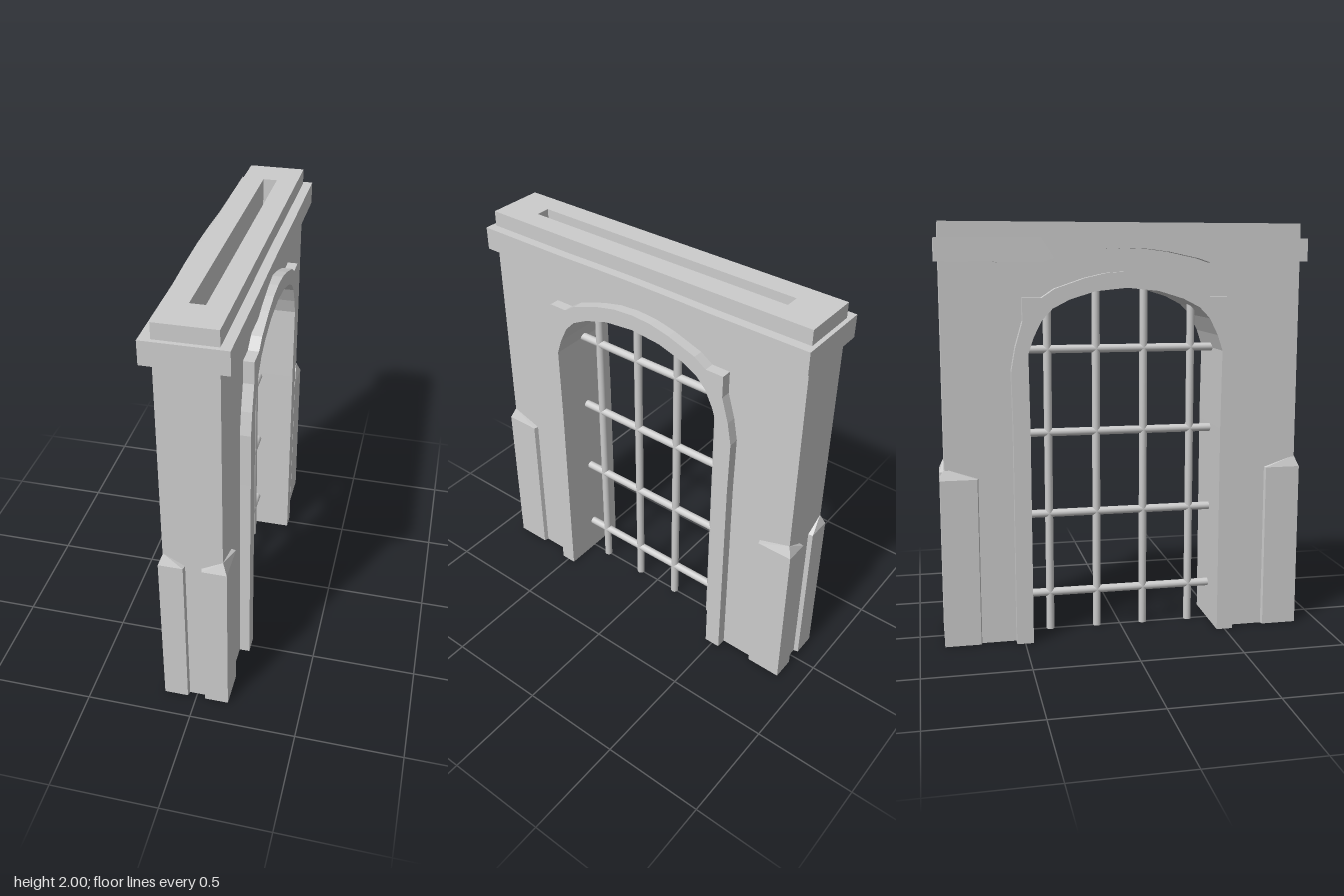
import * as THREE from 'three';
import { ConvexGeometry } from 'three/addons/geometries/ConvexGeometry.js';

const material = new THREE.MeshStandardMaterial({ color: 0xcccccc, flatShading: true });
const smooth = new THREE.MeshStandardMaterial({ color: 0xcccccc });

// Half profiles as [z, y], from the side towards the centre line
const opening = [[0.46, 0], [0.46, 1.02], [0.465, 1.4], [0.44, 1.475], [0.4, 1.555], [0.35, 1.607],
  [0.27, 1.648], [0.15, 1.685], [0, 1.7]];
const trimOuter = [[0.54, 0], [0.54, 1.05], [0.545, 1.32], [0.525, 1.43], [0.49, 1.55], [0.49, 1.657],
  [0.4, 1.657], [0.34, 1.697], [0.2, 1.745], [0.1, 1.768], [0, 1.775]];
const corniceUnder = [[0.88, 1.82], [0.62, 1.82], [0.59, 1.815], [0.4, 1.815], [0.34, 1.835],
  [0.2, 1.865], [0.1, 1.878], [0, 1.882]];

const WALL = [-0.137, 0.133];
const SLOT_FLOOR = 1.85;

// Full left-to-right line from a half profile
function mirrored(half) {
  return [...half, ...half.slice(0, -1).reverse().map(([z, y]) => [-z, y])];
}

function shapeOf(points) {
  return new THREE.Shape(points.map(([a, b]) => new THREE.Vector2(a, b)));
}

// Extrudes a [z, y] outline across x from x0 to x1
function slab(points, x0, x1) {
  const geo = new THREE.ExtrudeGeometry(shapeOf(points), { depth: x1 - x0, bevelEnabled: false });
  return geo.rotateY(-Math.PI / 2).translate(x1, 0, 0);
}

function rectangle(x0, x1, z) {
  return [[x0, -z], [x1, -z], [x1, z], [x0, z]];
}

export function createModel() {
  const model = new THREE.Group();
  model.name = 'gateway';
  const add = (name, geometry, mat = material, parent = model) => {
    const mesh = new THREE.Mesh(geometry, mat);
    mesh.name = name;
    parent.add(mesh);
    return mesh;
  };

  // Wall with the arched opening
  add('wall', slab([[0.86, 0], [0.86, SLOT_FLOOR], [-0.86, SLOT_FLOOR], [-0.86, 0],
    ...mirrored(opening).reverse()], ...WALL));

  // Top block with the long slot for the grille
  const top = shapeOf(rectangle(...WALL, 0.86));
  top.holes.push(new THREE.Path(rectangle(-0.035, 0.032, 0.68).map(([a, b]) => new THREE.Vector2(a, b))));
  add('slottedTop', new THREE.ExtrudeGeometry(top, { depth: 2 - SLOT_FLOOR, bevelEnabled: false })
    .rotateX(-Math.PI / 2).translate(0, SLOT_FLOOR, 0));

  // Raised trim around the arch, standing proud on both faces
  add('archTrim', slab([...mirrored(trimOuter), ...mirrored(opening).reverse()], -0.185, 0.182));

  // Cornice: a curved band on each face, closed by a block at each end
  const cornice = new THREE.Group();
  cornice.name = 'cornice';
  model.add(cornice);
  for (const [x0, x1, rise] of [[-0.187, -0.1, 0.015], [0.1, 0.177, 0.005]]) {
    const crown = [[0.88, 1.928], [0.4, 1.928], [0.2, 1.928 + rise * 0.7], [0, 1.928 + rise]];
    add('corniceBand', slab([...mirrored(corniceUnder), ...mirrored(crown).reverse()], x0, x1), material, cornice);
  }
  for (const side of [-1, 1]) {
    add('corniceEnd', new THREE.BoxGeometry(0.2, 0.108, 0.08), material, cornice)
      .position.set(0, 1.874, side * 0.84);
  }

  // Corner buttresses with caps sloping up to the wall corners
  const foot = [[0.155, 0.71], [0.155, 0.882], [0.042, 0.882], [0.035, 0.85], [0.12, 0.7]];
  for (const sx of [-1, 1]) {
    for (const sz of [-1, 1]) {
      const points = [new THREE.Vector3(sx * 0.134, 0.866, sz * 0.86)];
      for (const [x, z] of foot) {
        for (const y of [0, 0.813]) points.push(new THREE.Vector3(sx * x, y, sz * z));
      }
      add('cornerButtress', new ConvexGeometry(points));
    }
  }

  // Grille of round bars
  const grille = new THREE.Group();
  grille.name = 'grille';
  model.add(grille);
  const upright = 1.87;
  for (const z of [-0.355, -0.118, 0.118, 0.355]) {
    add('uprightBar', new THREE.CylinderGeometry(0.02, 0.02, upright, 12), smooth, grille)
      .position.set(0, upright / 2, z);
  }
  for (const y of [0.19, 0.595, 1.0, 1.405]) {
    add('crossBar', new THREE.CylinderGeometry(0.02, 0.02, 0.94, 12).rotateX(Math.PI / 2), smooth, grille)
      .position.set(0, y, 0);
  }

  return model;
}
